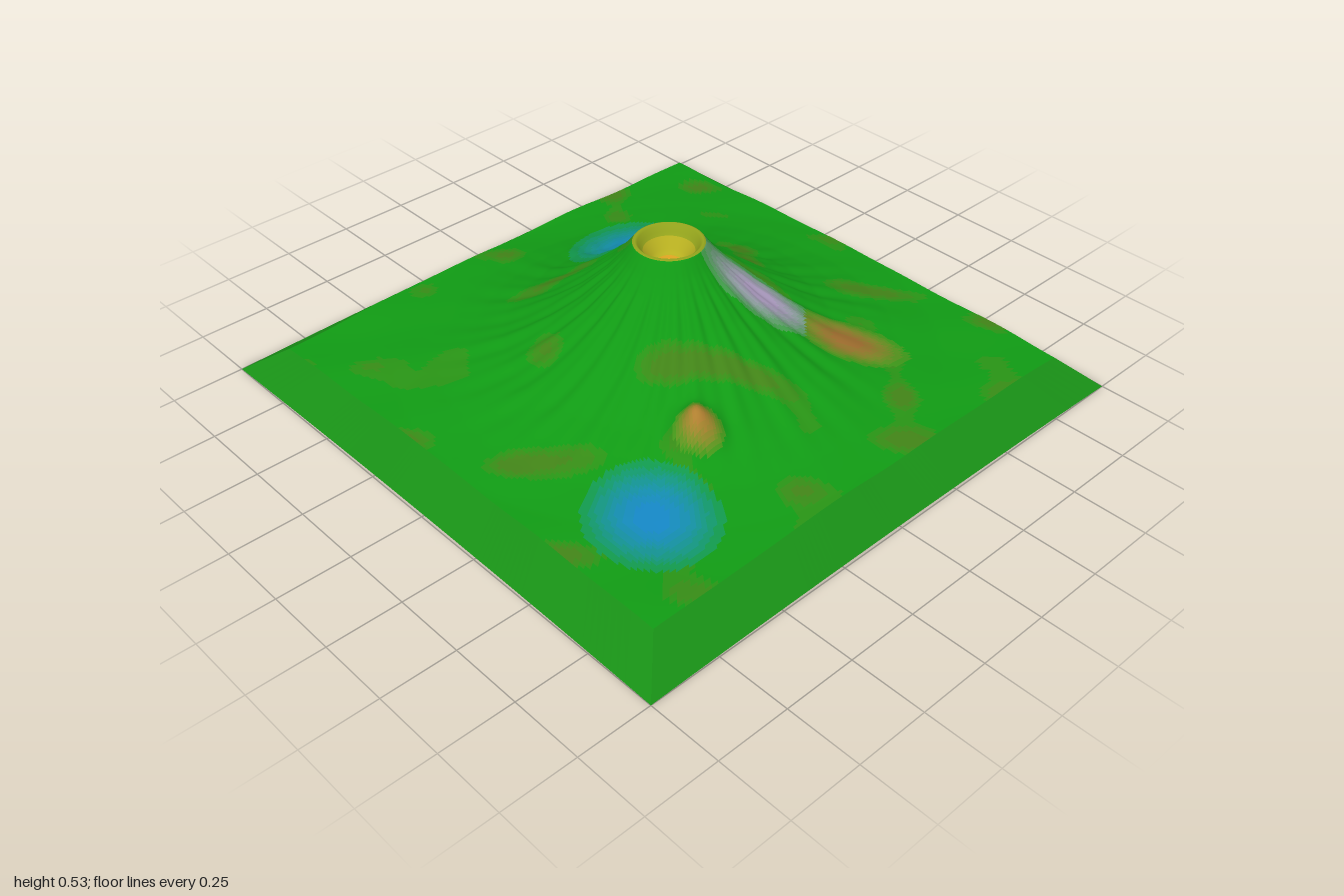
import * as THREE from 'three';

const SECTORS = 360, TOP = 0.88;

// Radius and height of the mountain, from crater floor to plain
const PROFILE = [
  [0, 0.44], [0.05, 0.455], [0.09, 0.51], [0.103, 0.536], [0.115, 0.53], [0.15, 0.482],
  [0.19, 0.438], [0.28, 0.358], [0.38, 0.285], [0.46, 0.236], [0.53, 0.2], [0.64, 0.162],
  [0.74, 0.138], [0.88, 0.118], [1.3, 0.1],
];

// Soft coloured areas: centre, half length, half width, heading, colour
const ZONES = [
  { name: 'blueSlope', x: -0.42, z: -0.24, a: 0.34, b: 0.27, turn: 0.7, color: 0x1590c0 },
  { name: 'lake', x: 0.57, z: 0.6, a: 0.25, b: 0.23, turn: 0, color: 0x1486c4 },
  { name: 'ashFlow', x: 0.22, z: -0.19, a: 0.24, b: 0.12, turn: -0.75, color: 0xa898bc },
  { name: 'lavaTail', x: 0.43, z: -0.38, a: 0.23, b: 0.12, turn: -0.7, color: 0x9a6a2c },
  { name: 'sideVent', x: 0.46, z: 0.31, a: 0.09, b: 0.09, turn: 0, color: 0xb08030 },
];
const GREEN = 0x109a14, BROWN = 0x4a7a18, SHADES = 8;

function profileHeight(r) {
  const i = Math.max(1, PROFILE.findIndex((p) => p[0] >= r));
  const [r0, y0] = PROFILE[i - 1], [r1, y1] = PROFILE[i];
  return THREE.MathUtils.mapLinear(r, r0, r1, y0, y1);
}

// Smooth rolling variation in about -1..1
const rolling = (x, z) =>
  (Math.sin(7 * x + 3 * Math.sin(5 * z)) + Math.sin(9 * z - 2 * Math.sin(6 * x + 1)) +
   Math.sin(17 * x + 13 * z + 2) * 0.6) / 2.6;

function heightAt(x, z) {
  const r = Math.hypot(x, z), angle = Math.atan2(z, x) - 0.45 * r;
  // Erosion gullies running down the flanks
  const flank = THREE.MathUtils.smoothstep(r, 0.11, 0.25) * (1 - THREE.MathUtils.smoothstep(r, 0.45, 0.85));
  const gullies = Math.sin(23 * angle + 2 * rolling(x, z)) * 0.004 + Math.sin(47 * angle + 6 * r) * 0.0025;
  const plain = THREE.MathUtils.smoothstep(r, 0.3, 0.8);
  const vent = 0.085 * Math.exp(-((x - 0.45) ** 2 + (z - 0.31) ** 2) / 0.0045);
  return profileHeight(r) + flank * gullies + vent +
    plain * (0.006 * rolling(x, z) + 0.008 * x - 0.006 * z);
}

// Name and colour of the surface at a point, in stepped blends
function surfaceAt(x, z) {
  const r = Math.hypot(x, z);
  if (r < 0.045) return ['craterFloor', 0xd8a020];
  if (r < 0.085) return ['craterWall', 0xb8b020];
  if (r < 0.112) return ['craterRim', 0x94a41c];
  let best = null, weight = 0;
  for (const zone of ZONES) {
    const dx = x - zone.x, dz = z - zone.z, c = Math.cos(zone.turn), s = Math.sin(zone.turn);
    const d = Math.hypot((dx * c + dz * s) / zone.a, (dz * c - dx * s) / zone.b);
    const w = 1 - THREE.MathUtils.smoothstep(d, 0.1, 1);
    if (w > weight) { weight = w; best = zone; }
  }
  let step = Math.round(weight * SHADES);
  if (step > 0) {
    return [best.name + step, new THREE.Color(GREEN).lerp(new THREE.Color(best.color), step / SHADES).getHex()];
  }
  step = Math.round(3 * THREE.MathUtils.smoothstep(rolling(x * 1.5 + 3, z * 1.5), 0.25, 1));
  return ['grass' + step, new THREE.Color(GREEN).lerp(new THREE.Color(BROWN), step / 4).getHex()];
}

const surfaceMaterial = (color) => new THREE.MeshStandardMaterial({ color, side: THREE.DoubleSide });

function geometryFrom(positions, index) {
  const g = new THREE.BufferGeometry();
  g.setAttribute('position', new THREE.Float32BufferAttribute(positions, 3));
  g.setIndex(index);
  return g;
}

// Rings circular at the crater, spreading out to the square plateau edge
function ringPoint(ring, sector) {
  const angle = (sector / SECTORS) * Math.PI * 2, c = Math.cos(angle), s = Math.sin(angle);
  const edge = TOP / Math.max(Math.abs(c), Math.abs(s));
  const r = ring <= 14 ? 0.115 * ring / 14
    : THREE.MathUtils.lerp(0.115, edge, ((ring - 14) / 86) ** 1.2);
  return [r * c, r * s];
}

function buildTerrain() {
  const RINGS = 100, positions = [], quads = new Map(), all = [];
  for (let i = 0; i <= RINGS; i++) {
    for (let j = 0; j < SECTORS; j++) {
      const [x, z] = ringPoint(i, j);
      positions.push(x, heightAt(x, z), z);
    }
  }
  for (let i = 0; i < RINGS; i++) {
    for (let j = 0; j < SECTORS; j++) {
      const k = (j + 1) % SECTORS;
      const a = i * SECTORS + j, b = a + SECTORS, c = i * SECTORS + k, d = c + SECTORS;
      const faces = i === 0 ? [a, d, b] : [a, c, b, c, d, b];
      const [name, color] = surfaceAt(...ringPoint(i + 0.5, j + 0.5));
      if (!quads.has(name)) quads.set(name, { color, index: [] });
      quads.get(name).index.push(...faces);
      all.push(...faces);
    }
  }
  // Normals come from the whole surface, so colour borders stay smooth
  const whole = geometryFrom(positions, all);
  whole.computeVertexNormals();
  const terrain = new THREE.Group();
  terrain.name = 'volcanoTerrain';
  for (const [name, { color, index }] of quads) {
    const patch = whole.clone();
    patch.setIndex(index);
    const mesh = new THREE.Mesh(patch.toNonIndexed(), surfaceMaterial(color));
    mesh.name = name;
    terrain.add(mesh);
  }
  return terrain;
}

// Sloping border from the plateau edge down to the ground, open underneath
function buildBorder() {
  const positions = [], index = [];
  for (let j = 0; j <= SECTORS; j++) {
    const [x, z] = ringPoint(100, j % SECTORS);
    const along = Math.min(Math.abs(x), Math.abs(z)) / TOP;
    positions.push(x, heightAt(x, z), z, x / TOP, 0.015 * (1 - along * along), z / TOP);
    if (j < SECTORS) {
      const a = j * 2;
      index.push(a, a + 2, a + 1, a + 2, a + 3, a + 1);
    }
  }
  const g = geometryFrom(positions, index).toNonIndexed();
  g.computeVertexNormals();
  const mesh = new THREE.Mesh(g, surfaceMaterial(0x189016));
  mesh.name = 'slopingBorder';
  return mesh;
}

export function createModel() {
  const model = new THREE.Group();
  model.name = 'volcano';
  model.add(buildTerrain(), buildBorder());
  return model;
}
